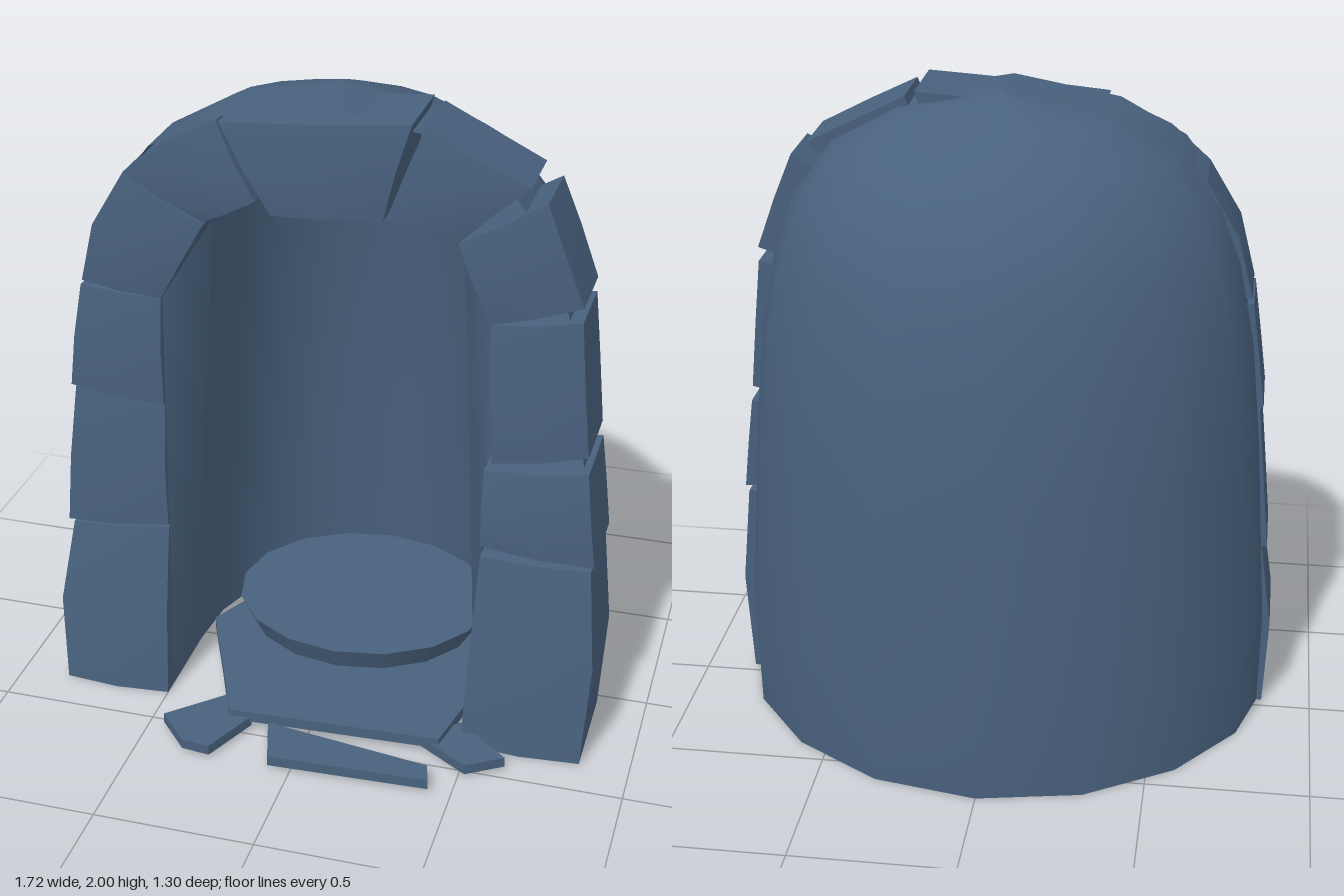
import * as THREE from 'three';

const stone = new THREE.MeshStandardMaterial({ color: 0x48617d, side: THREE.DoubleSide });
stone.name = 'blue slate';

function add(group, name, geometry) {
  const mesh = new THREE.Mesh(geometry, stone);
  mesh.name = name;
  group.add(mesh);
  return mesh;
}

// Half-round wall through rings of [y, half width, depth]; straight from frontZ to springZ, then curved
function halfLoft(rings, frontZ, springZ, segments, power) {
  const positions = [], index = [];
  rings.forEach(([y, w, d]) => {
    positions.push(w, y, frontZ);
    for (let i = 0; i <= segments; i++) {
      const a = (i / segments) * Math.PI;
      const s = Math.pow(Math.max(0, Math.sin(a)), power);
      positions.push(w * Math.cos(a), y, springZ - (d + springZ) * s);
    }
    positions.push(-w, y, frontZ);
  });
  const n = segments + 3;
  for (let r = 0; r < rings.length - 1; r++) {
    for (let i = 0; i < n - 1; i++) {
      const a = r * n + i, b = a + n;
      index.push(a, b, a + 1, a + 1, b, b + 1);
    }
  }
  const g = new THREE.BufferGeometry();
  g.setAttribute('position', new THREE.Float32BufferAttribute(positions, 3));
  g.setIndex(index);
  g.computeVertexNormals();
  return g;
}

// Rough pillowed block from four front corners (bottom left, bottom right, top right, top left)
function archBlock([bl, br, tr, tl], zBottom, zTop, outer) {
  const g = new THREE.BoxGeometry(1, 1, 1, 2, 2, 1);
  const p = g.attributes.position;
  const mix = THREE.MathUtils.lerp;
  for (let i = 0; i < p.count; i++) {
    const u = p.getX(i) + 0.5, v = p.getY(i) + 0.5, front = p.getZ(i) > 0;
    let x = mix(mix(bl[0], br[0], u), mix(tl[0], tr[0], u), v);
    let y = mix(mix(bl[1], br[1], u), mix(tl[1], tr[1], u), v);
    // Outer edge swells slightly
    if (v === 0.5 && u === (outer < 0 ? 0 : 1)) { x += outer * 0.025; y += 0.01; }
    const middles = (u === 0.5 ? 1 : 0) + (v === 0.5 ? 1 : 0);
    const bulge = [-0.015, 0, 0.012][middles];
    p.setXYZ(i, x, y, front ? mix(zBottom, zTop, v) + bulge : 0.035);
  }
  g.computeVertexNormals();
  return g;
}

// Flat paving piece from an outline in x and z
function paving(points, y, thickness) {
  const shape = new THREE.Shape(points.map(([x, z]) => new THREE.Vector2(x, -z)));
  const g = new THREE.ExtrudeGeometry(shape, { depth: thickness, bevelEnabled: false });
  g.rotateX(-Math.PI / 2);
  g.translate(0, y, 0);
  return g;
}

export function createModel() {
  const model = new THREE.Group();
  model.name = 'stoneAlcove';

  // Domed back, running forward beneath the arch stones
  add(model, 'domedShell', halfLoft([
    [0, 0.83, 0.645], [0.3, 0.835, 0.65], [0.9, 0.795, 0.615], [1.24, 0.762, 0.565],
    [1.5, 0.71, 0.51], [1.67, 0.645, 0.43], [1.83, 0.525, 0.325], [1.94, 0.325, 0.17], [2, 0, 0],
  ], 0.25, 0.04, 8, 1.2));

  // Niche lining
  add(model, 'nicheWall', halfLoft([
    [0.02, 0.49, 0.5], [0.8, 0.44, 0.45], [1.6, 0.385, 0.37], [1.8, 0.36, 0.27], [1.85, 0.01, 0.0],
  ], 0.1, 0.08, 12, 0.8));

  // Arch stones: corners, front z at bottom, front z at top, swelling side
  const arch = new THREE.Group();
  arch.name = 'archStones';
  model.add(arch);
  const blocks = [
    [[[-0.845, 0], [-0.5, 0], [-0.5, 0.58], [-0.82, 0.55]], 0.375, 0.3, -1],
    [[[-0.835, 0.56], [-0.5, 0.59], [-0.5, 1.01], [-0.79, 1.03]], 0.305, 0.285, 0],
    [[[-0.8, 1.04], [-0.5, 1.01], [-0.5, 1.36], [-0.755, 1.375]], 0.295, 0.28, 0],
    [[[-0.75, 1.39], [-0.5, 1.36], [-0.36, 1.61], [-0.6, 1.75]], 0.28, 0.28, -1],
    [[[-0.6, 1.75], [-0.36, 1.62], [-0.2, 1.7], [-0.31, 1.935]], 0.28, 0.28, -1],
    [[[-0.14, 1.68], [0.19, 1.7], [0.27, 1.99], [-0.29, 1.945]], 0.32, 0.315, 0],
    [[[0.19, 1.69], [0.4, 1.64], [0.6, 1.825], [0.3, 1.975]], 0.28, 0.28, 0],
    [[[0.5, 1.4], [0.765, 1.485], [0.65, 1.785], [0.4, 1.64]], 0.28, 0.28, 0],
    [[[0.52, 0.96], [0.805, 1.02], [0.765, 1.44], [0.5, 1.4]], 0.295, 0.28, 0],
    [[[0.5, 0.69], [0.845, 0.67], [0.81, 0.97], [0.5, 0.94]], 0.325, 0.305, 0],
    [[[0.47, 0], [0.845, 0], [0.835, 0.65], [0.5, 0.65]], 0.385, 0.315, 1],
  ];
  blocks.forEach((b, i) => add(arch, i === 5 ? 'keystone' : 'archStone', archBlock(...b)));

  // Slanted jambs between the arch stones and the lining
  for (const s of [-1, 1]) {
    const g = new THREE.BufferGeometry();
    g.setAttribute('position', new THREE.Float32BufferAttribute([
      s * 0.5, 0.02, 0.3, s * 0.49, 0.02, 0.1, s * 0.385, 1.6, 0.1, s * 0.5, 1.37, 0.25,
    ], 3));
    g.setIndex(s < 0 ? [0, 1, 2, 0, 2, 3] : [0, 2, 1, 0, 3, 2]);
    g.computeVertexNormals();
    add(model, s < 0 ? 'rightJamb' : 'leftJamb', g);
  }

  // Raised oval slab inside the niche
  const slab = add(model, 'raisedSlab', new THREE.CylinderGeometry(0.415, 0.38, 0.075, 16));
  slab.scale.z = 0.88;
  slab.position.set(0.035, 0.165, -0.09);

  // Floor and broken paving in front
  add(model, 'floorSlab', paving([
    [-0.46, 0.0], [-0.34, 0.27], [-0.25, 0.48], [0.42, 0.45], [0.46, 0.25], [0.48, 0.05],
    [0.4, -0.2], [0.2, -0.33], [-0.15, -0.33], [-0.36, -0.2],
  ], 0.03, 0.035));
  const pieces = [
    [[-0.45, 0.53], [-0.28, 0.37], [-0.18, 0.47], [-0.26, 0.65], [-0.35, 0.64]],
    [[-0.12, 0.485], [0.41, 0.56], [0.43, 0.63], [-0.07, 0.65]],
    [[0.46, 0.32], [0.63, 0.46], [0.52, 0.53], [0.36, 0.43]],
  ];
  pieces.forEach((p) => add(model, 'pavingPiece', paving(p, 0.012, 0.033)));

  return model;
}
